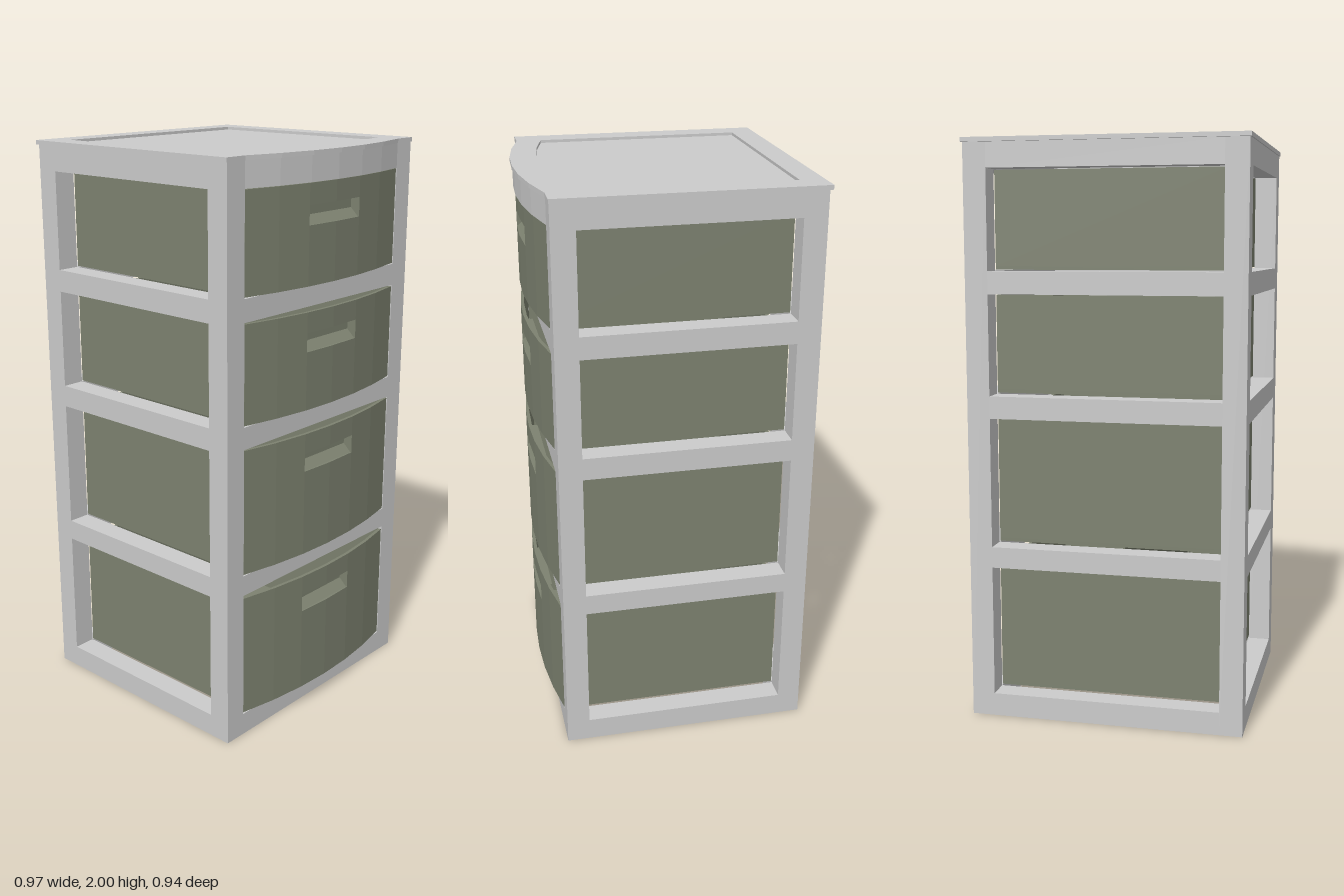
import * as THREE from 'three';

const W = 0.4;                       // half width between the posts
const BACK = -0.465, FRONT = 0.41;   // frame depth
const POST = 0.08;

const grey = new THREE.MeshStandardMaterial({ color: 0xcccccc });
const green = new THREE.MeshStandardMaterial({ color: 0x7d8270 });

// points [x, z] of a bowed front edge from x = a to x = b
function bow(a, b, z, sag, steps) {
  const pts = [];
  for (let i = 0; i <= steps; i++) {
    const x = a + (b - a) * i / steps;
    pts.push(new THREE.Vector2(x, z + sag * (1 - (x / W) ** 2)));
  }
  return pts;
}

// plan outline with straight back and sides and a bowed front
function bowedPlan(half, back, z, sag) {
  return [new THREE.Vector2(-half, back), new THREE.Vector2(half, back),
    ...bow(half, -half, z, sag, 6)];
}

// upright prism from an x/z outline, between two heights
function prism(points, y0, y1, hole) {
  const shape = new THREE.Shape(points);
  if (hole) shape.holes.push(new THREE.Path(hole));
  return new THREE.ExtrudeGeometry(shape, { depth: y1 - y0, bevelEnabled: false })
    .rotateX(Math.PI / 2).translate(0, y1, 0);
}

function box(x0, x1, y0, y1, z0, z1) {
  return new THREE.BoxGeometry(x1 - x0, y1 - y0, z1 - z0)
    .translate((x0 + x1) / 2, (y0 + y1) / 2, (z0 + z1) / 2);
}

function add(parent, name, geometry, material) {
  const mesh = new THREE.Mesh(geometry, material);
  mesh.name = name;
  parent.add(mesh);
}

function createFrame() {
  const frame = new THREE.Group();
  frame.name = 'frame';
  const top = 1.985;
  for (const s of [-1, 1]) {
    const x0 = s < 0 ? -W - POST : W, x1 = x0 + POST;
    add(frame, 'frontPost', box(x0, x1, 0, top, FRONT - POST, FRONT), grey);
    add(frame, 'backPost', box(x0, x1, 0, top, BACK, BACK + POST), grey);
  }
  // a ring of four rails at each level
  const levels = [[0, 0.08], [0.537, 0.61], [1.06, 1.137], [1.483, 1.56], [1.9, top]];
  for (const [y0, y1] of levels) {
    add(frame, 'frontRail', box(-W, W, y0, y1, FRONT - POST, FRONT), grey);
    add(frame, 'backRail', box(-W, W, y0, y1, BACK, BACK + POST), grey);
    for (const x of [-W - POST, W]) {
      add(frame, 'sideRail', box(x, x + POST, y0, y1, BACK + POST, FRONT - POST), grey);
    }
  }
  return frame;
}

function createLid() {
  const lid = new THREE.Group();
  lid.name = 'lid';
  const half = 0.485, back = -0.475;
  const inset = bowedPlan(W, -0.392, 0.325, 0.055);
  const rim = [new THREE.Vector2(-half, back), new THREE.Vector2(half, back),
    new THREE.Vector2(half, 0.412), ...bow(W, -W, 0.412, 0.058, 6),
    new THREE.Vector2(-half, 0.412)];
  add(lid, 'lidRim', prism(rim, 1.985, 2, inset), grey);
  add(lid, 'lidPanel', prism(inset, 1.97, 1.99), grey);
  // bowed apron under the lid's front edge
  add(lid, 'lidApron', prism(bow(W, -W, FRONT, 0.052, 6), 1.9, 1.985), grey);
  return lid;
}

// open-topped drawer with a bowed front and a finger pocket
function createDrawer(y0, y1) {
  const drawer = new THREE.Group();
  drawer.name = 'drawer';
  const half = 0.398, back = -0.383, t = 0.012, sag = 0.047, z = 0.408;
  const grip = half / 3, gripTop = y1 - 0.07, gripBottom = gripTop - 0.065;
  const floorTop = y0 + t;

  add(drawer, 'drawerFloor', prism(bowedPlan(half, back, z, sag), y0, floorTop), green);
  add(drawer, 'drawerBack', box(-half, half, floorTop, y1, back, back + t), green);
  for (const x of [-half, half - t]) {
    add(drawer, 'drawerSide', box(x, x + t, floorTop, y1, back + t, z - t), green);
  }

  // front wall, left open for the pocket
  const band = (a, b, n) => [...bow(a, b, z, sag, n), ...bow(b, a, z - t, sag, n)];
  add(drawer, 'drawerFront', prism(band(-half, -grip, 2), floorTop, y1), green);
  add(drawer, 'drawerFront', prism(band(grip, half, 2), floorTop, y1), green);
  add(drawer, 'drawerFront', prism(band(-grip, grip, 2), floorTop, gripBottom), green);
  add(drawer, 'drawerFront', prism(band(-grip, grip, 2), gripTop, y1), green);

  // pocket: sloping floor, upright back and flat roof
  const zf = 0.445, zb = 0.415, w = 0.006, mid = gripBottom + 0.028;
  const profile = [[zf, gripBottom], [zb, mid], [zb, gripTop], [zf, gripTop],
    [zf, gripTop + w], [zb - w, gripTop + w], [zb - w, mid - w], [zf, gripBottom - w]]
    .map(([a, b]) => new THREE.Vector2(a, b));
  const pocket = new THREE.ExtrudeGeometry(new THREE.Shape(profile),
    { depth: grip * 2, bevelEnabled: false })
    .rotateY(-Math.PI / 2).translate(grip, 0, 0);
  add(drawer, 'handlePocket', pocket, green);
  for (const x of [-grip - w, grip]) {
    add(drawer, 'handlePocketEnd',
      box(x, x + w, gripBottom - w, gripTop + w, zb - w, zf), green);
  }
  return drawer;
}

export function createModel() {
  const model = new THREE.Group();
  model.name = 'drawerTower';
  model.add(createFrame(), createLid());
  for (const [y0, y1] of [[0.085, 0.525], [0.614, 1.056], [1.141, 1.478], [1.564, 1.898]]) {
    model.add(createDrawer(y0, y1));
  }
  return model;
}
